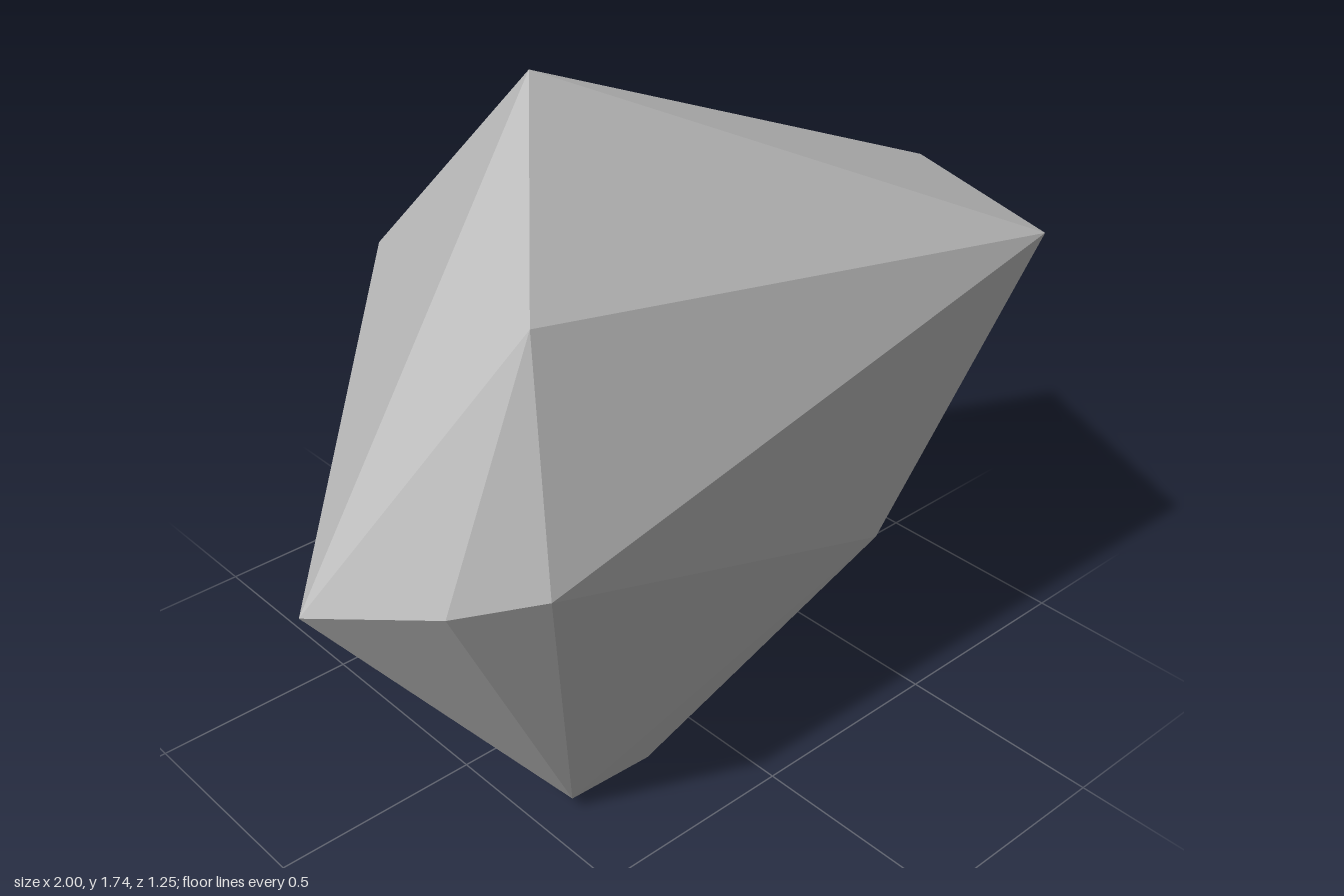
import * as THREE from 'three';
import { ConvexGeometry } from 'three/addons/geometries/ConvexGeometry.js';

// Corners of the faceted rock
const corners = [
  [-0.43, 1.74, 0.21],   // peak
  [-0.64, 1.375, 0.455], // front shoulder
  [0.64, 1.22, 0.625],   // front left corner
  [0.995, 1.10, -0.015], // left tip
  [0.81, 0.975, 0.19],   // left flank
  [-0.22, 1.025, -0.63], // back tip
  [-1.0, 0.765, 0.175],  // right tip
  [-0.85, 0.835, 0.445], // right front corners
  [-0.69, 0.86, 0.56],
  [0.305, 0.525, 0.5],   // lower front
  [-0.64, 0.318, 0.09],  // lower back
  [-0.42, 0.04, 0.285],  // foot
  [-0.17, 0, 0.26],
];

export function createModel() {
  const group = new THREE.Group();
  group.name = 'rock';

  const stone = new THREE.MeshStandardMaterial({ color: 0xc0c0c0 });
  stone.name = 'grey stone';

  // Convex hull gives flat facets with hard edges
  const points = corners.map((c) => new THREE.Vector3(...c));
  const body = new THREE.Mesh(new ConvexGeometry(points), stone);
  body.name = 'rockBody';
  group.add(body);

  return group;
}
